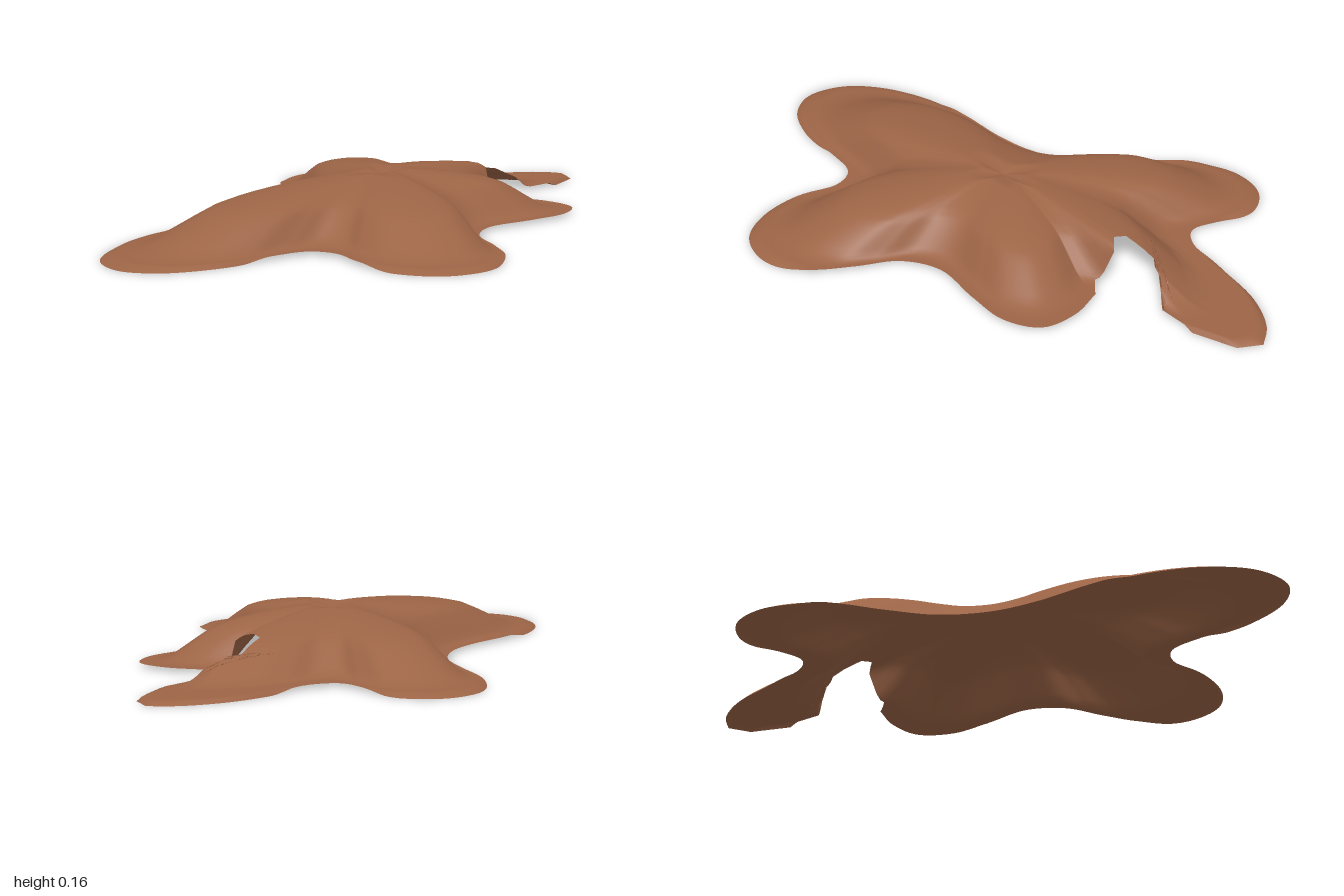
import * as THREE from 'three';

// sheet height against the share of the way out to the outline
const DRAPE = [[0, 0.147], [0.06, 0.152], [0.14, 0.158], [0.25, 0.151], [0.36, 0.142], [0.46, 0.131],
  [0.55, 0.119], [0.63, 0.103], [0.7, 0.078], [0.78, 0.047], [0.84, 0.024], [0.89, 0.014],
  [0.93, 0.012], [9, 0.012]];

// smooth part of the outline as x, z pairs
const OUTLINE = [
  0.49, 0.18, 0.505, 0.3, 0.47, 0.41, 0.36, 0.45, 0.22, 0.42, 0.05, 0.37, -0.07, 0.41,
  -0.16, 0.52, -0.26, 0.62, -0.4, 0.655, -0.53, 0.59, -0.585, 0.45, -0.56, 0.32,
  -0.515, 0.21, -0.54, 0.13, -0.66, 0.08, -0.82, 0.03, -0.95, -0.06, -0.997, -0.17,
  -0.95, -0.29, -0.83, -0.37, -0.65, -0.405, -0.47, -0.385, -0.3, -0.35, -0.15, -0.345,
  0, -0.39, 0.12, -0.48, 0.23, -0.58, 0.33, -0.645, 0.44, -0.66, 0.55, -0.61, 0.6, -0.5,
  0.56, -0.38, 0.52, -0.28, 0.57, -0.215, 0.72, -0.165, 0.86, -0.1, 0.96, -0.01, 1, 0.07,
];

// torn, straight-edged part that closes the outline
const TEAR = [
  0.95, 0.13, 0.81, 0.15, 0.69, 0.125, 0.69, 0.08, 0.6, 0.04, 0.6, 0.01,
  0.47, 0.005, 0.45, 0.04, 0.48, 0.08, 0.45, 0.13, 0.48, 0.17,
];

// the same stretch as if it had not been torn, used for the drape only
const UNTORN = [0.95, 0.13, 0.81, 0.15, 0.69, 0.14, 0.58, 0.15];

const SPINE_END = new THREE.Vector3(0.5, 0, -0.08);
const SPINE_STEPS = 20;
const RINGS = 30;

const toPoints = (list) => Array.from({ length: list.length / 2 },
  (_, i) => new THREE.Vector3(list[2 * i], 0, list[2 * i + 1]));

// distance from the centre to the untorn outline along the ray through x, z
function reachAlong(x, z, outline) {
  const r = Math.hypot(x, z);
  const dx = x / r, dz = z / r;
  let reach = 0;
  outline.forEach((p, i) => {
    const q = outline[(i + 1) % outline.length];
    const a = dx * p.z - dz * p.x;
    const b = dx * q.z - dz * q.x;
    if (a * b > 0 || a === b) return;
    const f = a / (a - b);
    reach = Math.max(reach, dx * (p.x + (q.x - p.x) * f) + dz * (p.z + (q.z - p.z) * f));
  });
  return reach;
}

function heightAt(x, z, outline) {
  const r = Math.hypot(x, z);
  if (r < 1e-4) return DRAPE[0][1];
  const reach = reachAlong(x, z, outline);
  const t = r / reach;
  // the narrow torn lobe sinks sooner than the others
  const angle = Math.atan2(z, x);
  const u = t * (1 + 0.17 * Math.exp(-((angle / 0.3) ** 2)));
  const i = DRAPE.findIndex((d) => d[0] > u);
  const [u0, h0] = DRAPE[i - 1];
  const [u1, h1] = DRAPE[i];
  const y = THREE.MathUtils.lerp(h0, h1, (u - u0) / (u1 - u0));
  // rim curls down to the ground at the far lobe tips
  const curl = THREE.MathUtils.smoothstep(reach, 0.65, 0.75) * THREE.MathUtils.smoothstep(t, 0.975, 1);
  return y - 0.012 * curl;
}

// rings of the outline shrunk onto a short spine, lifted to the draped height
function sheetGeometry() {
  const smooth = new THREE.CatmullRomCurve3(toPoints(OUTLINE)).getSpacedPoints(300);
  const untorn = [...smooth, ...toPoints(UNTORN)];
  const torn = [smooth[smooth.length - 1], ...toPoints(TEAR), smooth[0]];
  const edge = [...smooth];
  for (let i = 0; i < torn.length - 1; i++) {
    for (let k = 1; k <= 4; k++) edge.push(torn[i].clone().lerp(torn[i + 1], k / 4));
  }
  edge.pop();

  // each rim point runs to one end of the spine; the two changeovers fan along it
  const rim = [];
  let last = 0;
  for (const p of edge) {
    const onTornLobe = p.x > 0.46 && p.z > -0.23 && p.z < 0.16 && !(p.x < 0.5 && p.z > 0.02);
    const end = onTornLobe ? 1 : 0;
    if (end !== last) {
      for (let k = 0; k < SPINE_STEPS; k++) {
        const s = THREE.MathUtils.lerp(last, end, k / SPINE_STEPS);
        rim.push([p, SPINE_END.clone().multiplyScalar(s)]);
      }
    }
    rim.push([p, SPINE_END.clone().multiplyScalar(end)]);
    last = end;
  }

  const n = rim.length;
  const positions = [];
  const index = [];
  for (let j = 0; j <= RINGS; j++) {
    for (const [p, s] of rim) {
      const v = s.clone().lerp(p, j / RINGS);
      positions.push(v.x, heightAt(v.x, v.z, untorn), v.z);
    }
  }
  for (let j = 0; j < RINGS; j++) {
    for (let i = 0; i < n; i++) {
      const k = (i + 1) % n;
      const a = j * n + i, b = j * n + k, c = a + n, d = b + n;
      index.push(a, b, c, b, d, c);
    }
  }
  const g = new THREE.BufferGeometry();
  g.setAttribute('position', new THREE.Float32BufferAttribute(positions, 3));
  g.setIndex(index);
  g.computeVertexNormals();
  return g;
}

export function createModel() {
  const hide = new THREE.MeshStandardMaterial({ color: 0x9c6446, side: THREE.DoubleSide });
  hide.name = 'brown hide';
  const group = new THREE.Group();
  group.name = 'drapedHide';
  const sheet = new THREE.Mesh(sheetGeometry(), hide);
  sheet.name = 'hideSheet';
  group.add(sheet);
  return group;
}
